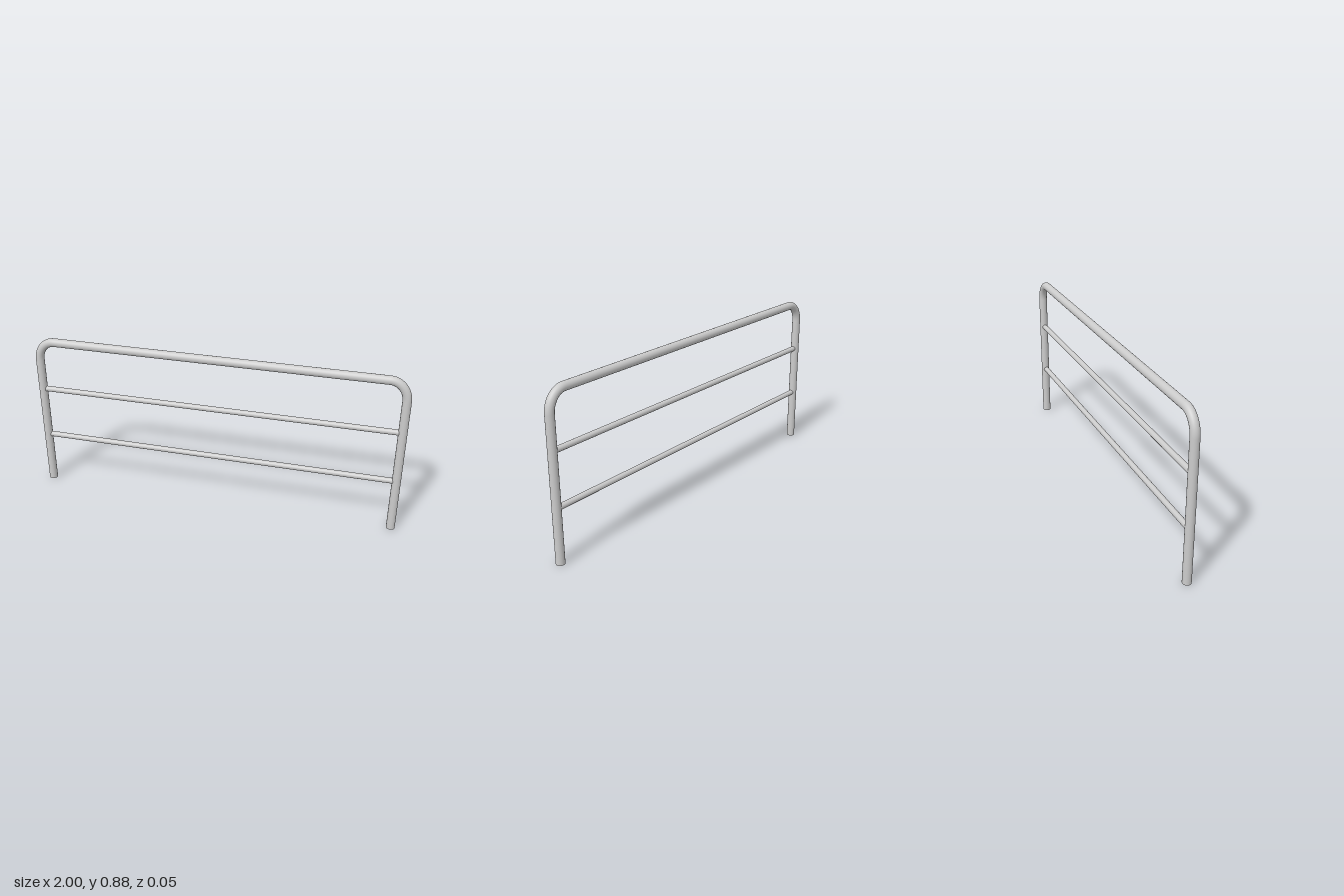
import * as THREE from 'three';

const LEG_X = 0.977, TOP_Y = 0.862, TUBE_R = 0.023;
const BEND_W = 0.09, BEND_H = 0.105;
const RAIL_R = 0.015, RAIL_HALF = 0.963, RAIL_HEIGHTS = [0.293, 0.58];
const SIDES = 24;

export function createModel() {
  const group = new THREE.Group();
  group.name = 'guardRail';
  const material = new THREE.MeshStandardMaterial({ color: 0xcccccc });

  const add = (name, geometry, x = 0, y = 0) => {
    const mesh = new THREE.Mesh(geometry, material);
    mesh.name = name;
    mesh.position.set(x, y, 0);
    group.add(mesh);
  };
  const horizontalBar = (radius, length, open) =>
    new THREE.CylinderGeometry(radius, radius, length, SIDES, 1, open).rotateZ(Math.PI / 2);

  // Upright legs and the rounded corners above them
  const legH = TOP_Y - BEND_H;
  const k = 0.5523; // Bezier handle length for a quarter arc
  for (const [side, s] of [['left', 1], ['right', -1]]) {
    add(side + 'Leg', new THREE.CylinderGeometry(TUBE_R, TUBE_R, legH, SIDES), s * LEG_X, legH / 2);
    const bend = new THREE.CubicBezierCurve3(
      new THREE.Vector3(s * LEG_X, legH, 0),
      new THREE.Vector3(s * LEG_X, legH + BEND_H * k, 0),
      new THREE.Vector3(s * (LEG_X - BEND_W * (1 - k)), TOP_Y, 0),
      new THREE.Vector3(s * (LEG_X - BEND_W), TOP_Y, 0)
    );
    add(side + 'Bend', new THREE.TubeGeometry(bend, 16, TUBE_R, SIDES));
  }

  // Top bar between the two bends
  add('topBar', horizontalBar(TUBE_R, 2 * (LEG_X - BEND_W), true), 0, TOP_Y);

  // Thinner rails between the legs
  RAIL_HEIGHTS.forEach((y, i) =>
    add(i ? 'upperRail' : 'lowerRail', horizontalBar(RAIL_R, 2 * RAIL_HALF, false), 0, y));

  return group;
}
